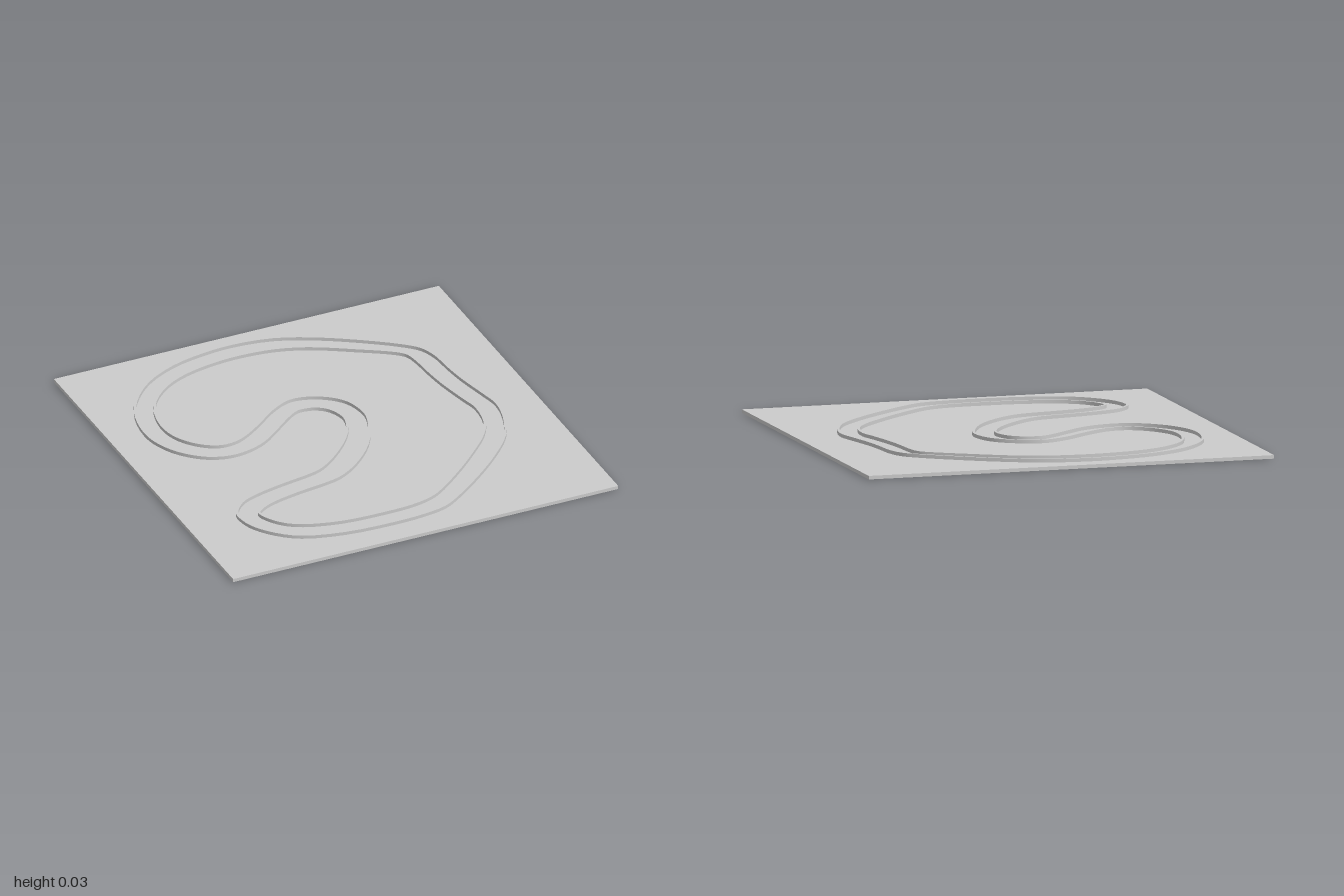
import * as THREE from 'three';
import { toCreasedNormals } from 'three/addons/utils/BufferGeometryUtils.js';

const BASE_H = 0.017;
const TOP = 0.034;
const RAIL_W = 0.012;

// Rail outlines as [x, z], both running clockwise seen from above
const OUTER = [
  [-0.12, -0.907], [0.08, -0.88], [0.25, -0.81], [0.45, -0.69], [0.62, -0.565], [0.68, -0.5],
  [0.71, -0.41], [0.719, -0.3], [0.735, -0.17], [0.77, 0], [0.787, 0.1], [0.765, 0.23],
  [0.7, 0.38], [0.58, 0.52], [0.42, 0.665], [0.25, 0.795], [0.17, 0.84], [0.05, 0.863],
  [-0.1, 0.87], [-0.35, 0.855], [-0.55, 0.8], [-0.65, 0.725], [-0.72, 0.63], [-0.742, 0.56],
  [-0.742, 0.49], [-0.68, 0.41], [-0.6, 0.372], [-0.45, 0.335], [-0.25, 0.298], [-0.19, 0.27],
  [-0.1, 0.2], [0, 0.095], [0.06, 0], [0.082, -0.08], [0.072, -0.14], [0.045, -0.19],
  [0, -0.225], [-0.04, -0.237], [-0.09, -0.238], [-0.15, -0.205], [-0.25, -0.125], [-0.35, -0.05],
  [-0.45, -0.01], [-0.55, -0.002], [-0.65, -0.035], [-0.75, -0.125], [-0.81, -0.24], [-0.827, -0.35],
  [-0.805, -0.5], [-0.745, -0.63], [-0.62, -0.765], [-0.45, -0.855], [-0.28, -0.895],
];
const INNER = [
  [-0.11, -0.803], [0.05, -0.785], [0.2, -0.735], [0.4, -0.62], [0.555, -0.52], [0.595, -0.475],
  [0.61, -0.4], [0.617, -0.3], [0.632, -0.17], [0.665, 0], [0.684, 0.09], [0.665, 0.23],
  [0.61, 0.33], [0.5, 0.45], [0.35, 0.59], [0.19, 0.715], [0.12, 0.745], [0.03, 0.763],
  [-0.1, 0.768], [-0.32, 0.757], [-0.5, 0.708], [-0.58, 0.655], [-0.635, 0.575], [-0.645, 0.53],
  [-0.62, 0.502], [-0.55, 0.467], [-0.4, 0.432], [-0.2, 0.4], [-0.13, 0.372], [-0.03, 0.3],
  [0.08, 0.18], [0.15, 0.05], [0.184, -0.05], [0.185, -0.12], [0.16, -0.21], [0.1, -0.28],
  [0, -0.333], [-0.09, -0.341], [-0.2, -0.288], [-0.3, -0.21], [-0.4, -0.14], [-0.47, -0.108],
  [-0.55, -0.105], [-0.63, -0.15], [-0.7, -0.24], [-0.728, -0.34], [-0.713, -0.48], [-0.66, -0.595],
  [-0.55, -0.7], [-0.42, -0.762], [-0.25, -0.797],
];

// Thin upright wall following a closed outline
function makeRail(name, outline, material) {
  const curve = new THREE.CatmullRomCurve3(
    outline.map(([x, z]) => new THREE.Vector3(x, z, 0)), true);
  const n = outline.length * 3;
  const edge = (offset) => {
    const pts = [];
    for (let i = 0; i < n; i++) {
      const p = curve.getPoint(i / n);
      const t = curve.getTangent(i / n);
      pts.push(new THREE.Vector2(p.x + t.y * offset, p.y - t.x * offset));
    }
    return pts;
  };
  const shape = new THREE.Shape(edge(RAIL_W / 2));
  shape.holes.push(new THREE.Path(edge(-RAIL_W / 2)));
  const geometry = new THREE.ExtrudeGeometry(shape, {
    depth: TOP - BASE_H, bevelEnabled: false, steps: 1,
  });
  geometry.rotateX(Math.PI / 2).translate(0, TOP, 0);
  const rail = new THREE.Mesh(toCreasedNormals(geometry, 0.6), material);
  rail.name = name;
  return rail;
}

export function createModel() {
  const group = new THREE.Group();
  group.name = 'raceTrack';
  const material = new THREE.MeshStandardMaterial({ color: 0xcccccc });

  // Square ground plate
  const base = new THREE.Mesh(new THREE.BoxGeometry(2, BASE_H, 2), material);
  base.position.y = BASE_H / 2;
  base.name = 'basePlate';
  group.add(base);

  // Walls on both sides of the lane
  group.add(makeRail('outerWall', OUTER, material));
  group.add(makeRail('innerWall', INNER, material));
  return group;
}
